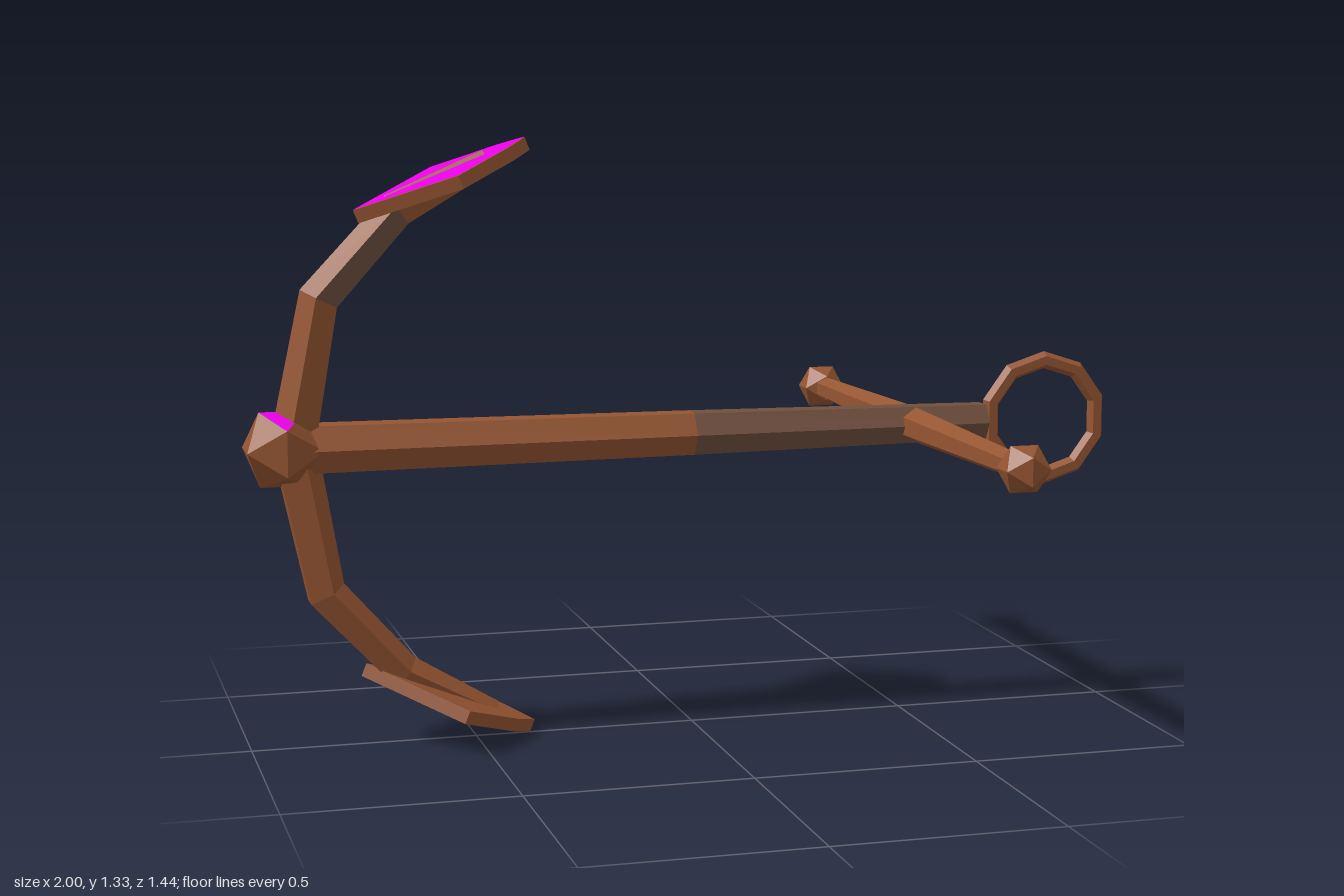
import * as THREE from 'three';

const brown = new THREE.MeshStandardMaterial({ color: 0x955532 });
brown.name = 'brown';
const greyBrown = new THREE.MeshStandardMaterial({ color: 0x70503f });
greyBrown.name = 'greyBrown';
const magenta = new THREE.MeshStandardMaterial({ color: 0xff00ff });
magenta.name = 'magenta';
const palette = [brown, greyBrown, magenta];
const MID = 0.668; // height of the shaft

function flat(geometry) {
  const g = geometry.index ? geometry.toNonIndexed() : geometry;
  g.computeVertexNormals();
  return g;
}

function add(parent, name, geometry, material = brown) {
  const mesh = new THREE.Mesh(geometry, material);
  mesh.name = name;
  parent.add(mesh);
  return mesh;
}

// Faceted bar along a path of [x, y, radius] in the xy plane; colourOf picks a palette index per facet
function bar(path, sides, startAngle, colourOf) {
  const pts = path.map(([x, y]) => new THREE.Vector2(x, y));
  const rings = path.map(([x, y, r], i) => {
    const t = new THREE.Vector2();
    if (i > 0) t.add(pts[i].clone().sub(pts[i - 1]).normalize());
    if (i < pts.length - 1) t.add(pts[i + 1].clone().sub(pts[i]).normalize());
    t.normalize();
    return Array.from({ length: sides }, (_, k) => {
      const a = startAngle + (k / sides) * Math.PI * 2;
      const c = r * Math.cos(a);
      return new THREE.Vector3(x - t.y * c, y + t.x * c, r * Math.sin(a));
    });
  });
  const verts = [];
  const groups = [];
  const face = (colour, ...corners) => {
    groups.push([verts.length, corners.length, colour]);
    verts.push(...corners);
  };
  for (let i = 0; i < rings.length - 1; i++) {
    for (let k = 0; k < sides; k++) {
      const n = (k + 1) % sides;
      const [a, b, c, d] = [rings[i][k], rings[i][n], rings[i + 1][n], rings[i + 1][k]];
      face(colourOf(i, k), a, b, c, a, c, d);
    }
  }
  const first = rings[0];
  const last = rings[rings.length - 1];
  for (let k = 1; k < sides - 1; k++) {
    face(0, first[0], first[k + 1], first[k]);
    face(0, last[0], last[k], last[k + 1]);
  }
  const g = new THREE.BufferGeometry().setFromPoints(verts);
  groups.forEach((group) => g.addGroup(...group));
  return flat(g);
}

// Kite-shaped outline of a fluke, pointing along +x
function flukeShape() {
  const half = [[0.215, 0.168], [0.355, 0.062]];
  const points = [[0, 0], ...half.map(([x, y]) => [x, -y]), [0.408, 0],
    ...half.slice().reverse()];
  return new THREE.Shape(points.map(([x, y]) => new THREE.Vector2(x, y)));
}

export function createModel() {
  const model = new THREE.Group();
  model.name = 'anchor';

  // Shaft: tapering hexagonal bar
  const shaftPath = [[-0.9, MID, 0.06], [0, MID, 0.054], [0.7, MID, 0.046]];
  add(model, 'shaft', bar(shaftPath, 6, Math.PI / 6, (i, k) => {
    if (k === 2 || k === 3) return 1;
    return i === 1 && k !== 4 ? 1 : 0;
  }), palette);

  // Hub at the crown, with one painted facet
  const hubGeometry = new THREE.IcosahedronGeometry(0.097, 0);
  const normals = hubGeometry.attributes.normal;
  for (let i = 0; i < normals.count; i += 3) {
    const painted = normals.getY(i) > 0.9 && normals.getZ(i) > 0.3;
    hubGeometry.addGroup(i, 3, painted ? 2 : 0);
  }
  add(model, 'hub', hubGeometry, palette).position.set(-0.917, MID, 0);

  // Curved arms, pentagonal and tapering; offsets are measured from the shaft height
  const armPath = [[-0.895, 0, 0.053], [-0.832, 0.324, 0.047], [-0.66, 0.512, 0.042], [-0.46, 0.615, 0.027]];
  for (const side of [1, -1]) {
    const path = armPath.map(([x, y, r]) => [x, MID + side * y, r]);
    add(model, side > 0 ? 'upperArm' : 'lowerArm', bar(path, 5, 0, (i, k) => {
      if (side > 0) return i === 1 && (k === 1 || k === 2) ? 1 : 0;
      return i === 2 && k === 4 ? 2 : 0;
    }), palette);

    // Fluke plate at the end of the arm
    const fluke = new THREE.Group();
    fluke.name = side > 0 ? 'upperFluke' : 'lowerFluke';
    fluke.position.set(-0.75, MID + side * 0.499, 0);
    fluke.rotation.z = side * 0.385;
    const plate = new THREE.ExtrudeGeometry(flukeShape(), { depth: 0.03, bevelEnabled: false });
    plate.translate(0, 0, -0.015).rotateX(-Math.PI / 2);
    add(fluke, 'flukePlate', flat(plate));
    if (side > 0) {
      const paint = new THREE.ShapeGeometry(flukeShape());
      paint.rotateX(-Math.PI / 2).translate(0, 0.0165, 0);
      add(fluke, 'flukePaint', paint, magenta);
    }
    model.add(fluke);
  }

  // Stock: cross bar tapering from the middle to a knob at each end
  for (const side of [1, -1]) {
    const half = new THREE.CylinderGeometry(0.027, 0.041, 0.66, 6);
    half.rotateX(side * Math.PI / 2);
    add(model, 'stockHalf', flat(half)).position.set(0.527, MID, side * 0.33);
    const knob = add(model, 'stockKnob', new THREE.IcosahedronGeometry(0.058, 0));
    knob.position.set(0.527, MID, side * 0.672);
  }

  // Ring: ten straight segments
  const ring = new THREE.TorusGeometry(0.137, 0.02, 6, 10);
  ring.rotateZ(Math.PI / 2);
  add(model, 'ring', flat(ring)).position.set(0.85, MID, 0);

  return model;
}
